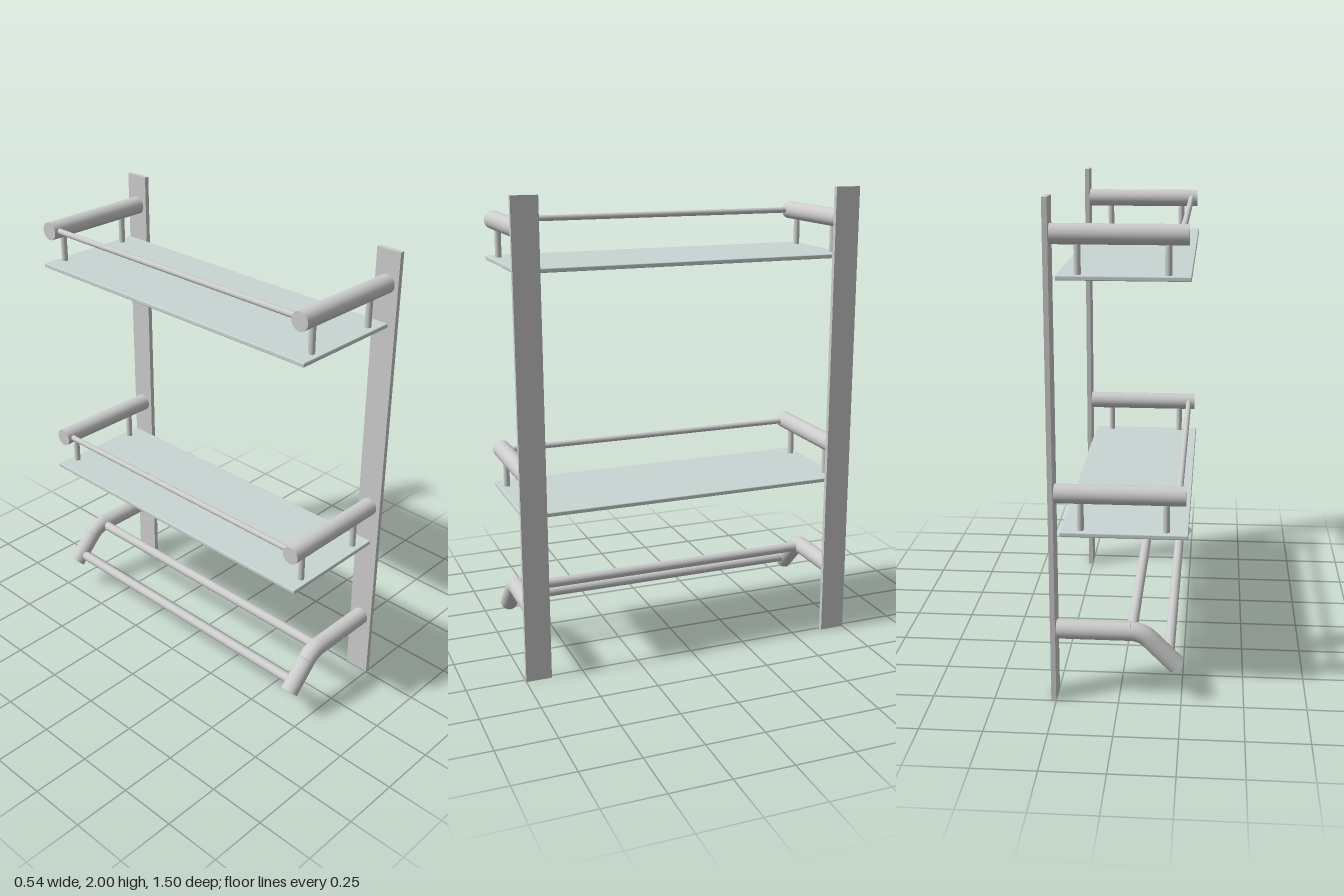
import * as THREE from 'three';
import { RoundedBoxGeometry } from 'three/addons/geometries/RoundedBoxGeometry.js';

const metal = new THREE.MeshStandardMaterial({ color: 0xcccccc });
const glass = new THREE.MeshStandardMaterial({ color: 0xc9d6d3 });

const ARM_Z = 0.695;   // centre line of the arms and uprights
const ARM_R = 0.0385;
const WALL_X = 0.25;   // face of the uprights that carries the arms

function add(parent, name, geometry, x, y, z, material = metal) {
  const mesh = new THREE.Mesh(geometry, material);
  mesh.name = name;
  mesh.position.set(x, y, z);
  parent.add(mesh);
  return mesh;
}

// Round bar along x, y or z
function rod(parent, name, radius, length, axis, x, y, z) {
  const geometry = new THREE.CylinderGeometry(radius, radius, length, 32);
  if (axis === 'x') geometry.rotateZ(Math.PI / 2);
  if (axis === 'z') geometry.rotateX(Math.PI / 2);
  return add(parent, name, geometry, x, y, z);
}

// Glass shelf hung on pins from two arms, with a guard rail
function createShelf(y) {
  const shelf = new THREE.Group();
  shelf.name = 'shelfUnit';
  add(shelf, 'glassShelf', new RoundedBoxGeometry(0.5, 0.018, 1.462, 2, 0.004), -0.02, 0.707, 0, glass);
  rod(shelf, 'guardRail', 0.0125, ARM_Z * 2, 'z', -0.233, 0.866, 0);
  for (const side of [-1, 1]) {
    const z = side * ARM_Z;
    rod(shelf, 'shelfArm', ARM_R, WALL_X + 0.26, 'x', (WALL_X - 0.26) / 2, 0.864, z);
    for (const x of [-0.185, 0.15]) rod(shelf, 'shelfPin', 0.0133, 0.148, 'y', x, 0.79, z);
  }
  shelf.position.y = y;
  return shelf;
}

// Bent arm: straight run, 45 degree arc, sloping end
function createBentArm(z) {
  const arm = new THREE.Group();
  arm.name = 'towelArm';
  const y = 0.29, bendX = -0.045, bendR = 0.109, steps = 10;
  const end = new THREE.Vector3(-0.23, 0.15, 0);
  const arc = [];
  for (let i = 0; i <= steps; i++) {
    const a = (i / steps) * Math.PI / 4;
    arc.push(new THREE.Vector3(bendX - bendR * Math.sin(a), y - bendR * (1 - Math.cos(a)), 0));
  }
  rod(arm, 'straightRun', ARM_R, WALL_X - bendX, 'x', (WALL_X + bendX) / 2, y, 0);
  const bend = new THREE.CatmullRomCurve3(arc);
  add(arm, 'bend', new THREE.TubeGeometry(bend, 16, ARM_R, 32), 0, 0, 0);
  const start = arc[steps];
  const mid = start.clone().add(end).multiplyScalar(0.5);
  rod(arm, 'slopingEnd', ARM_R, start.distanceTo(end), 'y', mid.x, mid.y, 0).rotation.z = -Math.PI / 4;
  arm.position.z = z;
  return arm;
}

export function createModel() {
  const model = new THREE.Group();
  model.name = 'towelRackWithShelves';

  // Flat uprights and bent arms on both sides
  for (const side of [-1, 1]) {
    add(model, 'upright', new THREE.BoxGeometry(0.02, 2, 0.11), WALL_X + 0.01, 1, side * ARM_Z);
    model.add(createBentArm(side * ARM_Z));
  }

  // Two identical shelves
  for (const y of [0, 1]) model.add(createShelf(y));

  // Towel bars between the bent arms
  rod(model, 'upperTowelBar', 0.0215, ARM_Z * 2, 'z', -0.05, 0.289, 0);
  rod(model, 'lowerTowelBar', 0.0215, ARM_Z * 2, 'z', -0.198, 0.182, 0);
  return model;
}
